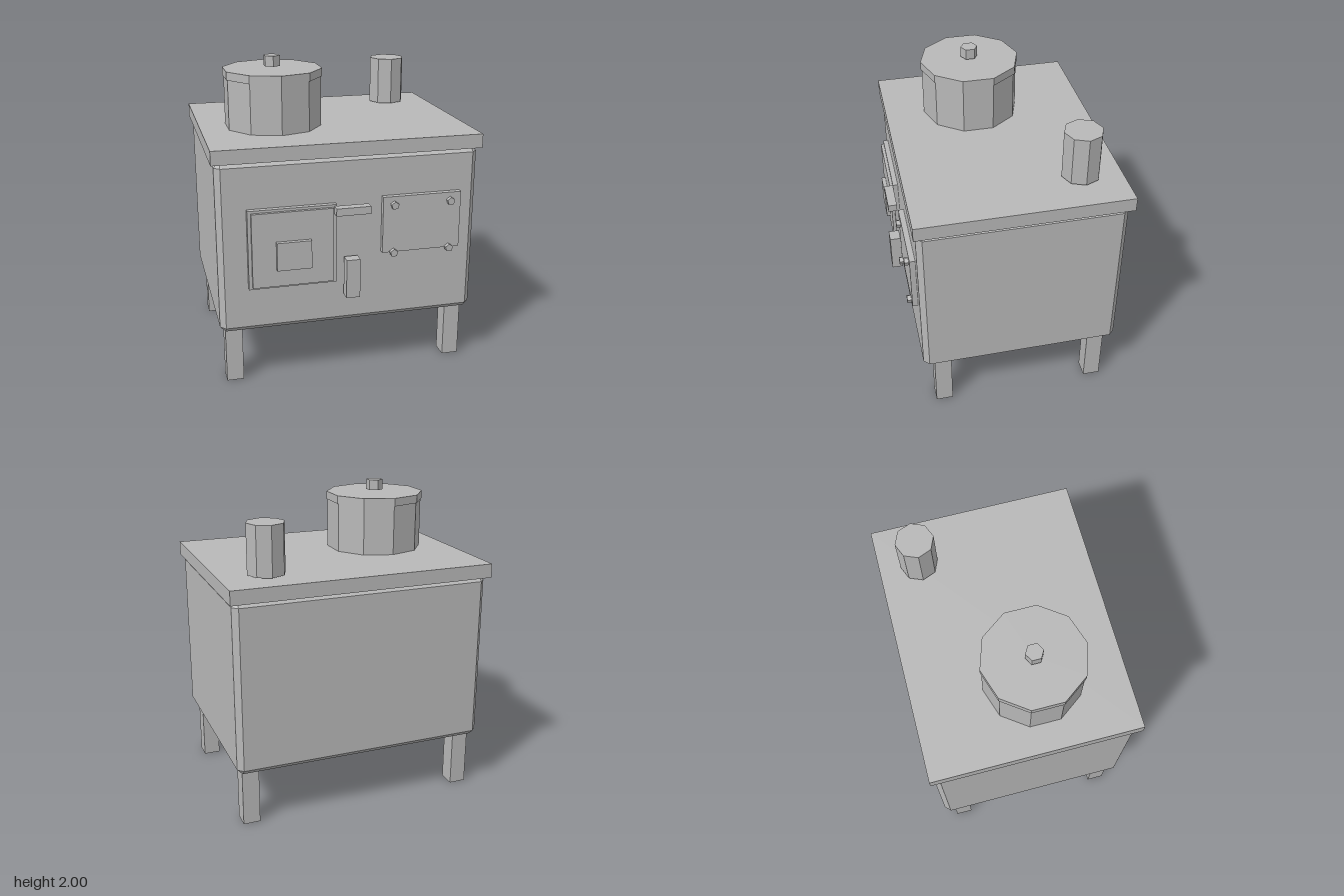
import * as THREE from 'three';
import { ConvexGeometry } from 'three/addons/geometries/ConvexGeometry.js';

export function createModel() {
  const model = new THREE.Group();
  model.name = 'stove';
  const grey = new THREE.MeshStandardMaterial({ color: 0xb8b8b8, flatShading: true });
  grey.name = 'plain grey';

  const add = (name, geometry) => {
    const mesh = new THREE.Mesh(geometry, grey);
    mesh.name = name;
    model.add(mesh);
    return mesh;
  };
  // Box given by its limits on each axis
  const box = (name, x0, x1, y0, y1, z0, z1) =>
    add(name, new THREE.BoxGeometry(x1 - x0, y1 - y0, z1 - z0))
      .position.set((x0 + x1) / 2, (y0 + y1) / 2, (z0 + z1) / 2);
  // Upright prism with a corner pointing forward
  const prism = (name, sides, r, x, z, y0, y1) =>
    add(name, new THREE.CylinderGeometry(r, r, y1 - y0, sides)).position.set(x, (y0 + y1) / 2, z);

  // Body: box with every edge bevelled
  const half = [0.825, 0.551, 0.64], bevel = 0.035, points = [];
  for (const sx of [-1, 1]) for (const sy of [-1, 1]) for (const sz of [-1, 1]) {
    for (let axis = 0; axis < 3; axis++) {
      const p = half.map((h, i) => (i === axis ? h : h - bevel));
      points.push(new THREE.Vector3(sx * p[0], sy * p[1], sz * p[2]));
    }
  }
  add('body', new ConvexGeometry(points)).position.set(0, 0.921, -0.035);

  box('cooktop', -0.845, 0.845, 1.464, 1.553, -0.7, 0.622);

  // Legs
  for (const x of [-0.735, 0.732]) for (const z of [0.478, -0.552]) {
    box('leg', x - 0.054, x + 0.054, 0, 0.375, z - 0.055, z + 0.055);
  }

  // Oven door, in stacked plates
  box('doorFrame', -0.645, -0.095, 0.666, 1.175, 0.6, 0.638);
  box('doorPanel', -0.624, -0.116, 0.682, 1.159, 0.63, 0.658);
  box('doorVent', -0.476, -0.26, 0.793, 0.973, 0.65, 0.685);
  box('doorLatch', -0.11, 0.107, 1.117, 1.165, 0.638, 0.695);
  box('handle', -0.045, 0.043, 0.572, 0.825, 0.628, 0.698);

  // Bolted plate
  box('boltedPlate', 0.201, 0.709, 0.83, 1.196, 0.6, 0.64);
  for (const x of [0.272, 0.638]) for (const y of [0.83, 1.143]) {
    const bolt = add('bolt', new THREE.CylinderGeometry(0.026, 0.026, 0.035, 5));
    bolt.rotation.x = -Math.PI / 2;
    bolt.position.set(x, y, 0.648);
  }

  // Pot with lid and knob
  prism('pot', 10, 0.313, -0.371, 0.054, 1.553, 1.872);
  prism('potLid', 10, 0.32, -0.371, 0.054, 1.87, 1.922);
  prism('lidKnob', 6, 0.055, -0.371, 0.054, 1.933, 2);

  prism('chimney', 8, 0.12, 0.55, -0.443, 1.563, 1.875);

  return model;
}
